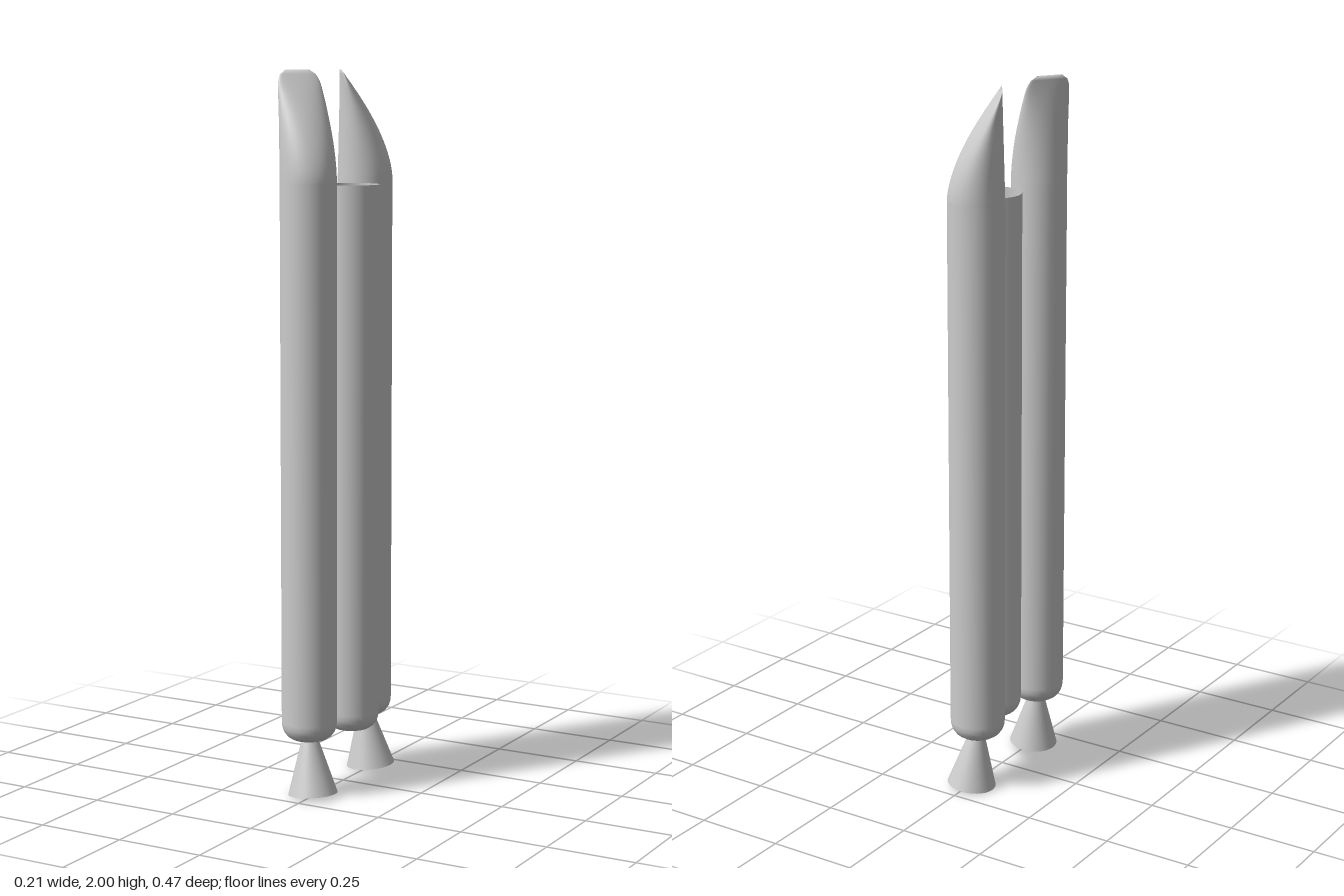
import * as THREE from 'three';
import { mergeVertices } from 'three/addons/utils/BufferGeometryUtils.js';

const R = 0.077;        // booster radius
const SEAM = 1.7;       // height where the nose begins
const NOSE = 0.3;       // nose height
const SIDES = 32;

const grey = new THREE.MeshStandardMaterial({ color: 0xcccccc, side: THREE.DoubleSide });
grey.name = 'light grey';

function part(name, geometry, parent) {
  const mesh = new THREE.Mesh(geometry, grey);
  mesh.name = name;
  parent.add(mesh);
  return mesh;
}

// Open tube with a rounded lower end and a hole of the given radius
function tank(hole, top) {
  const profile = [[hole, 0.16], [0.05, 0.162], [0.062, 0.17], [0.071, 0.182], [0.0755, 0.195], [R, 0.21], [R, top]];
  return new THREE.LatheGeometry(profile.map(([x, y]) => new THREE.Vector2(x, y)), SIDES);
}

// Slanted nose: circular base thinning to an edge on the +x side
function noseGeometry() {
  let g = new THREE.CylinderGeometry(1, 1, 1, SIDES, 24, true);
  const p = g.attributes.position;
  for (let i = 0; i < p.count; i++) {
    const s = THREE.MathUtils.clamp(p.getY(i) + 0.5, 0, 1);
    const depth = R * (1 - Math.pow(s, 1.6));
    const corner = Math.max(0, (s - 0.85) / 0.15);
    const width = R * (1 - 0.23 * s * s) - 0.025 * (1 - Math.sqrt(Math.max(0, 1 - corner * corner)));
    const face = R - 0.008 * s;
    p.setXYZ(i, face - depth + depth * p.getX(i), SEAM + NOSE * s, width * p.getZ(i));
  }
  g.deleteAttribute('uv');
  g.deleteAttribute('normal');
  g = mergeVertices(g, 1e-6);
  g.computeVertexNormals();
  return g;
}

export function createModel() {
  const model = new THREE.Group();
  model.name = 'rocketBoosters';

  // Hollow centre tube
  part('centreTube', tank(0.03, 1.69), model).position.x = 0.027;

  // Mirrored pair of boosters
  const nose = noseGeometry();
  for (const side of [1, -1]) {
    const booster = new THREE.Group();
    booster.name = side > 0 ? 'frontBooster' : 'backBooster';
    booster.position.set(-0.019, 0, 0.157 * side);
    model.add(booster);

    part('boosterBody', tank(0.001, SEAM), booster);
    part('slantedNose', nose, booster).rotation.y = side * Math.atan2(0.57, -0.82);

    // Nozzle bell, canted slightly outward
    const top = new THREE.Vector3(0.002, 0.166, 0.002 * side);
    const bottom = new THREE.Vector3(0.016, 0.007, 0.009 * side);
    const axis = top.clone().sub(bottom);
    const nozzle = part('nozzle', new THREE.CylinderGeometry(0.021, 0.069, axis.length(), SIDES, 1, true), booster);
    nozzle.position.copy(top).add(bottom).multiplyScalar(0.5);
    nozzle.quaternion.setFromUnitVectors(new THREE.Vector3(0, 1, 0), axis.normalize());
  }
  return model;
}
